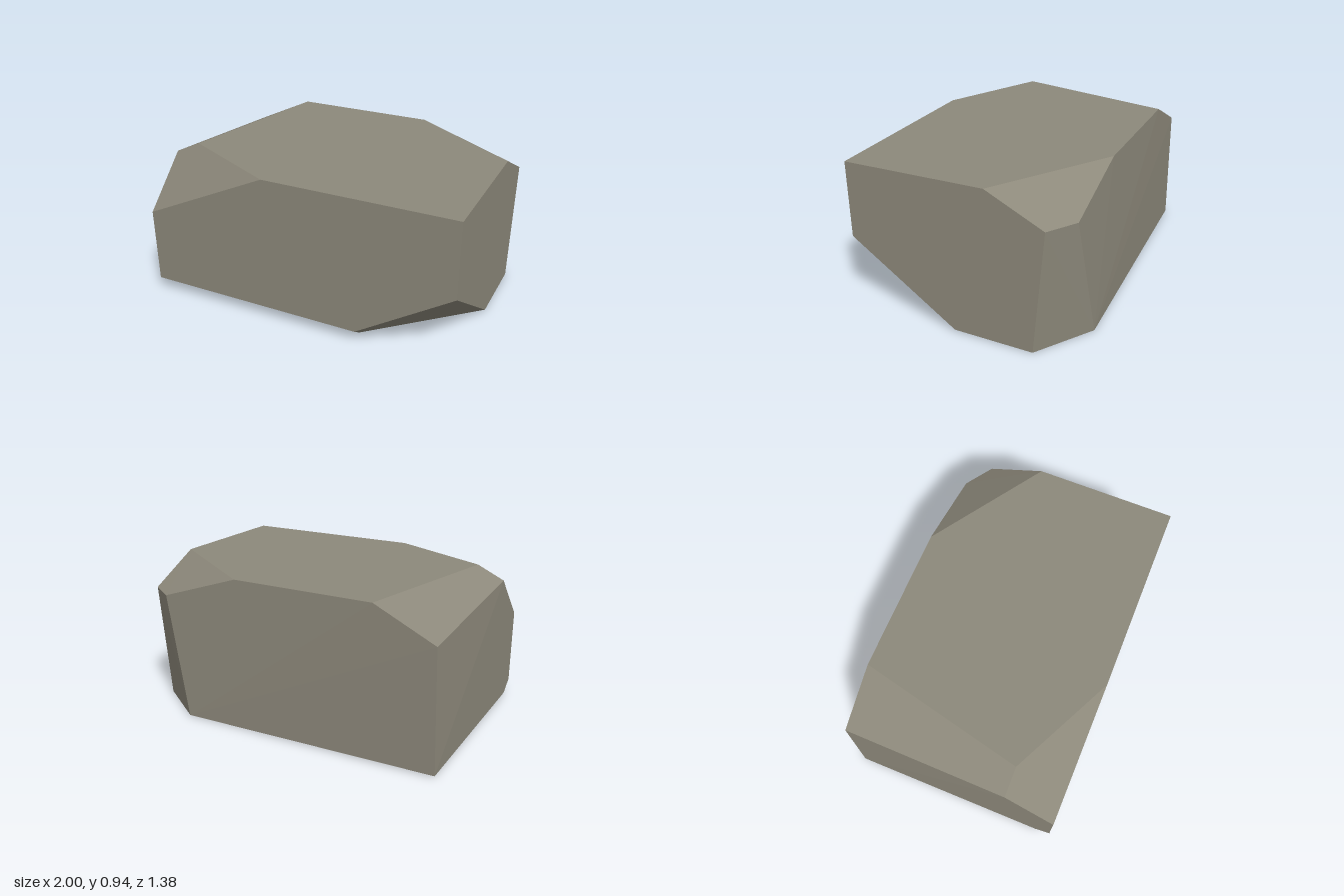
import * as THREE from 'three';
import { ConvexGeometry } from 'three/addons/geometries/ConvexGeometry.js';

export function createModel() {
  const stone = new THREE.MeshStandardMaterial({ color: 0x8d897b });
  stone.name = 'stone';

  // Corners of a roughly boxy block whose corners have been chipped off flat
  const corners = [
    // chip at the upper front, -x side
    [-1, 0.56, 0.69], [-0.19, 0.94, 0.69], [-0.83, 0.94, 0.38], [-1, 0.86, 0.38],
    // sloping top edge along the -x side, and the back edge below it
    [-0.6, 0.94, -0.645], [-0.977, 0.76, -0.645], [-1, 0.01, -0.65],
    // upper front, +x side
    [1, 0.94, 0.69],
    // chip at the upper back, +x side
    [1, 0.94, -0.18], [0.3, 0.94, -0.645], [0.83, 0.765, -0.645], [1, 0.765, -0.53],
    // foot of the upright chip at the back, +x side
    [1, 0, -0.46], [0.66, 0, -0.695],
    // chip at the lower front, +x side
    [1, 0.47, 0.69], [0.4, 0.08, 0.69], [1, 0.008, 0.03], [0.39, 0.01, 0.595],
    // bevel along the lower front edge
    [-1, 0.08, 0.69], [-1, 0.012, 0.595],
  ].map((p) => new THREE.Vector3(...p));

  const boulder = new THREE.Mesh(new ConvexGeometry(corners), stone);
  boulder.name = 'boulder';

  const group = new THREE.Group();
  group.name = 'rock';
  group.add(boulder);
  return group;
}
